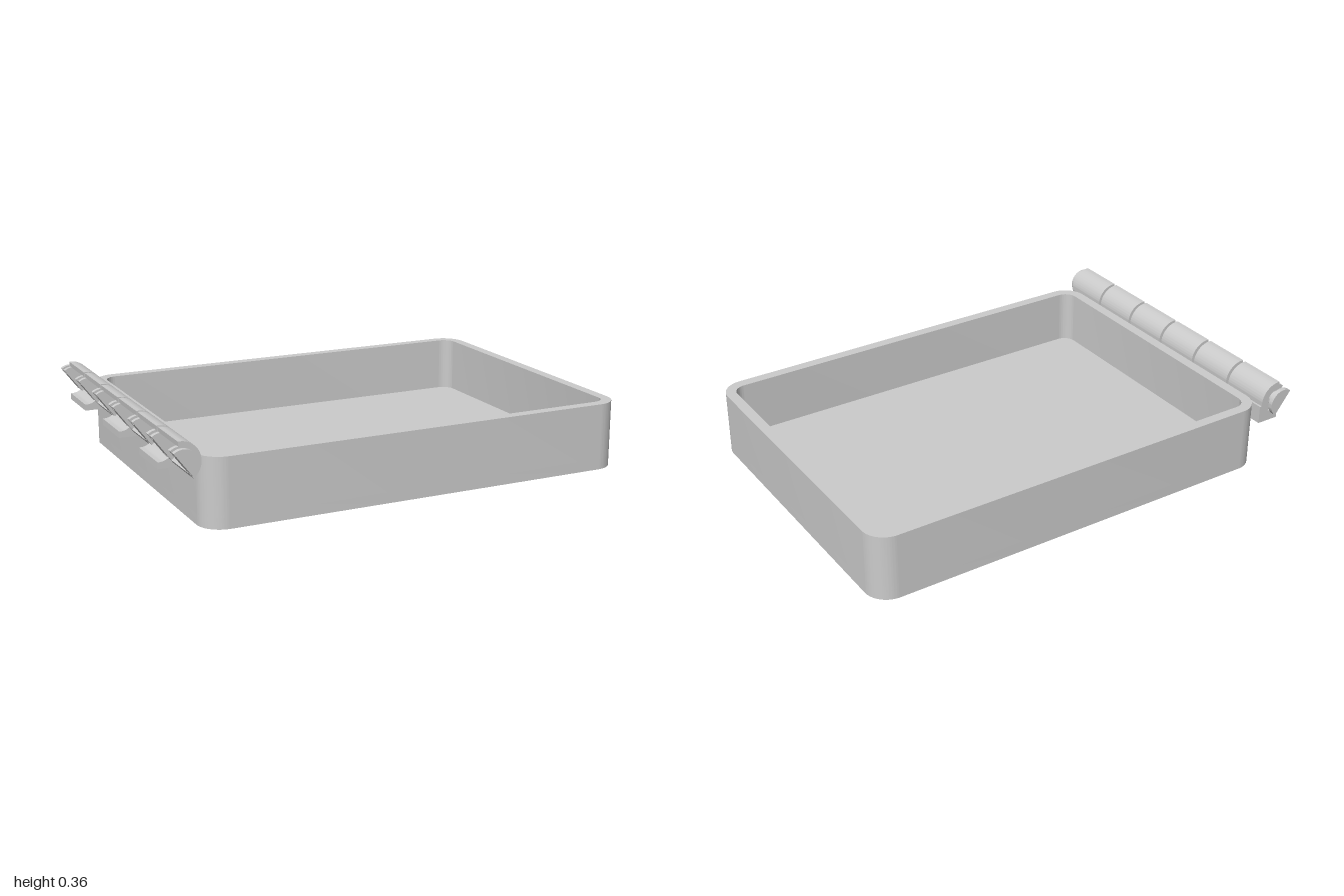
import * as THREE from 'three';
import { toCreasedNormals } from 'three/addons/utils/BufferGeometryUtils.js';

const material = new THREE.MeshStandardMaterial({ color: 0xcccccc, side: THREE.DoubleSide });
const rad = THREE.MathUtils.degToRad;
const AXIS = { x: -0.963, y: 0.282 };

// Rounded rectangle centred on the origin
function roundedRect(w, h, r, Type = THREE.Shape) {
  const s = new Type(), x = w / 2, y = h / 2;
  s.moveTo(x, -y + r);
  s.lineTo(x, y - r);
  s.absarc(x - r, y - r, r, 0, Math.PI / 2);
  s.absarc(-x + r, y - r, r, Math.PI / 2, Math.PI);
  s.absarc(-x + r, -y + r, r, Math.PI, Math.PI * 1.5);
  s.absarc(x - r, -y + r, r, Math.PI * 1.5, Math.PI * 2);
  return s;
}

function extrude(shape, depth) {
  const g = new THREE.ExtrudeGeometry(shape, { depth, bevelEnabled: false, curveSegments: 20 });
  return toCreasedNormals(g, rad(35));
}

function add(group, name, geometry) {
  const mesh = new THREE.Mesh(geometry, material);
  mesh.name = name;
  group.add(mesh);
  return mesh;
}

// Half disc on the hinge axis, cut along a slanting diameter
function halfDisc(r) {
  const s = new THREE.Shape();
  s.absarc(0, 0, r, rad(-53), rad(127));
  s.closePath();
  return s;
}

// Open barrel section; the fixed one has a foot reaching the tray wall
function barrel(fixed) {
  const outer = 0.083, inner = 0.062, s = new THREE.Shape();
  if (fixed) {
    s.moveTo(-0.007, -0.089);
    s.lineTo(0.093, -0.089);
    s.lineTo(0.093, -0.01);
    s.absarc(0, 0, outer, rad(-7), rad(95));
    s.absarc(0, 0, inner, rad(95), rad(-96), true);
  } else {
    s.absarc(0, 0, outer, rad(-53), rad(95));
    s.absarc(0, 0, inner, rad(95), rad(-53), true);
  }
  s.closePath();
  return s;
}

export function createModel() {
  const model = new THREE.Group();

  // Tray: floor and rounded wall
  const tray = new THREE.Group();
  tray.name = 'tray';
  tray.position.x = 0.064;
  tray.rotation.x = -Math.PI / 2;
  const wall = roundedRect(1.872, 1.4, 0.1);
  wall.holes.push(roundedRect(1.782, 1.31, 0.055, THREE.Path));
  add(tray, 'trayFloor', extrude(roundedRect(1.872, 1.4, 0.1), 0.045));
  add(tray, 'trayWall', extrude(wall, 0.24)).position.z = 0.045;
  model.add(tray);

  // Hinge along the model's right edge
  const hinge = new THREE.Group();
  hinge.name = 'hinge';
  hinge.position.set(AXIS.x, AXIS.y, 0);
  const pitch = 0.2335, length = 0.219, first = -0.693;
  for (let i = 0; i < 6; i++) {
    const z = first + i * pitch, fixed = i % 2 === 0;
    add(hinge, fixed ? 'fixedKnuckle' : 'freeKnuckle', extrude(barrel(fixed), length)).position.z = z;
    // Inner walls close the ends of the free knuckles
    if (!fixed) {
      for (const dz of [0, length - 0.02])
        add(hinge, 'knuckleEnd', extrude(halfDisc(0.064), 0.02)).position.z = z + dz;
    }
    // Retaining flanges sit inside the fixed knuckles
    if (fixed) {
      for (const dz of [0.01, length - 0.03])
        add(hinge, 'innerFlange', extrude(halfDisc(0.064), 0.02)).position.z = z + dz;
    }
  }
  // Pin necks bridge the gaps and carry the end flanges
  for (let i = 0; i < 7; i++) {
    add(hinge, 'pinNeck', extrude(halfDisc(0.037), 0.055)).position.z = first - 0.035 + i * pitch - (i === 6 ? 0.005 : 0);
  }
  for (const z of [-0.73, 0.71])
    add(hinge, 'endFlange', extrude(halfDisc(0.062), 0.02)).position.z = z;
  model.add(hinge);

  return model;
}
